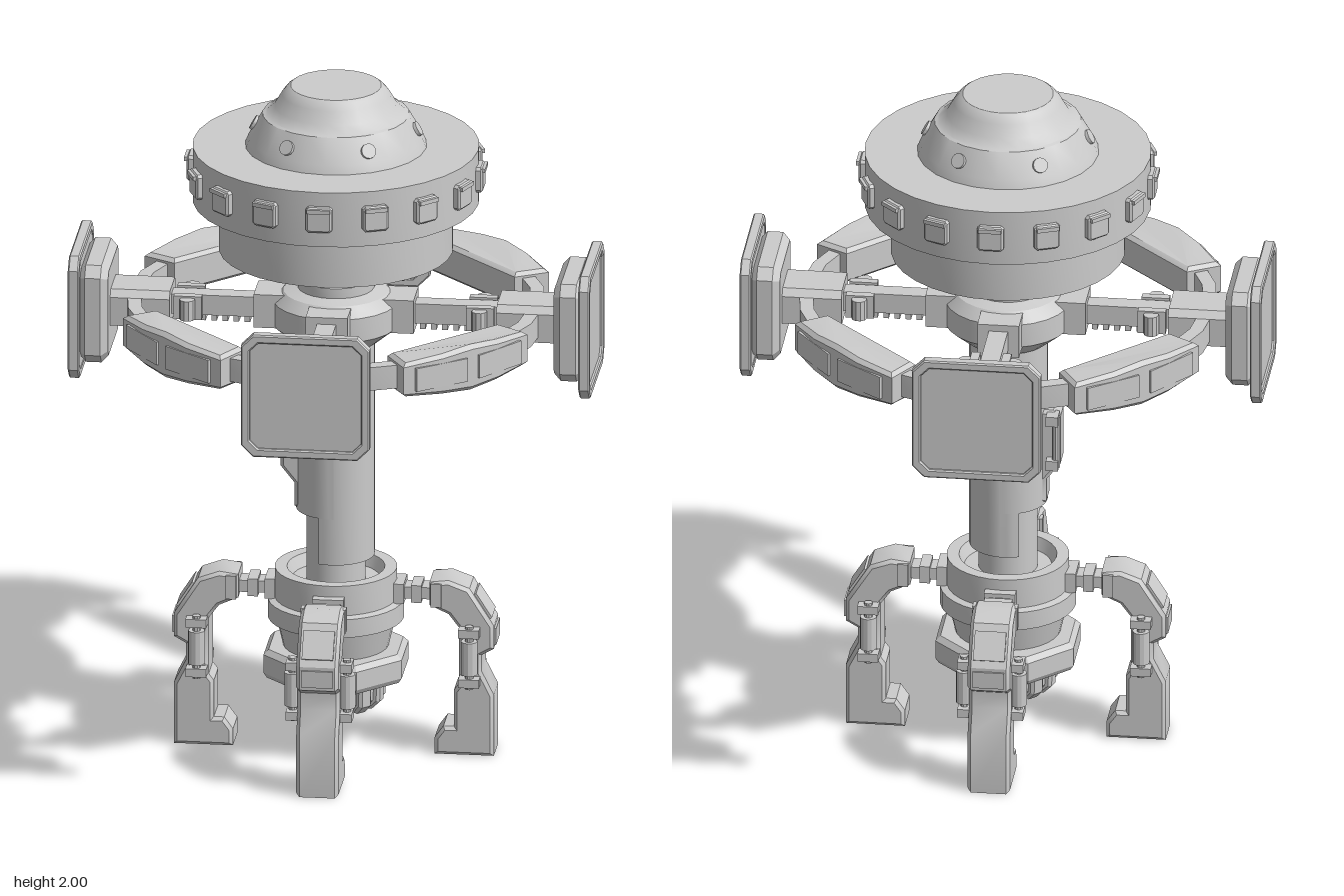
import * as THREE from 'three';
import { toCreasedNormals } from 'three/addons/utils/BufferGeometryUtils.js';

const mat = new THREE.MeshStandardMaterial({ color: 0xcccccc, side: THREE.DoubleSide });

function add(parent, name, geo, x = 0, y = 0, z = 0) {
  const m = new THREE.Mesh(toCreasedNormals(geo, 0.5), mat);
  m.name = name;
  m.position.set(x, y, z);
  parent.add(m);
  return m;
}
const box = (w, h, d) => new THREE.BoxGeometry(w, h, d);
const cyl = (r1, r2, h, n = 16) => new THREE.CylinderGeometry(r1, r2, h, n);
const vecs = (pts) => pts.map(([a, b]) => new THREE.Vector2(a, b));
const lathe = (pts, n = 32, start = 0, sweep = Math.PI * 2) =>
  new THREE.LatheGeometry(vecs(pts), n, start, sweep);

// Centred extrusion, with the bevel kept inside the outline and the depth
function slab(shape, depth, bevel = 0) {
  const geo = new THREE.ExtrudeGeometry(shape, {
    depth: depth - 2 * bevel, bevelEnabled: bevel > 0, bevelSize: bevel,
    bevelThickness: bevel, bevelOffset: -bevel, bevelSegments: 1, curveSegments: 6,
  });
  return geo.translate(0, 0, -depth / 2 + bevel);
}

// Square outline with cut corners
const cutSquare = (h, c) => vecs([
  [-h + c, -h], [h - c, -h], [h, -h + c], [h, h - c], [h - c, h], [-h + c, h], [-h, h - c], [-h, -h + c],
]);

// Repeats a part, built along +z, around the y axis
function around(parent, name, count, offset, build) {
  for (let i = 0; i < count; i++) {
    const g = new THREE.Group();
    g.name = name;
    g.rotation.y = offset + (i * Math.PI * 2) / count;
    build(g);
    parent.add(g);
  }
}

function buildHead(root) {
  add(root, 'drum', lathe([[0, 1.505], [0.335, 1.505], [0.335, 1.66]]));
  add(root, 'saucer', lathe([[0.33, 1.655], [0.41, 1.655], [0.41, 1.82], [0, 1.82]]));
  add(root, 'dome', lathe([[0.26, 1.82], [0.25, 1.845], [0.21, 1.915], [0.2, 1.918], [0.175, 1.94],
    [0.155, 1.975], [0.14, 1.993], [0.13, 2], [0, 2]], 24));
  around(root, 'window', 16, 0, (g) => {
    add(g, 'windowFrame', slab(new THREE.Shape(cutSquare(0.038, 0.008)), 0.03, 0.006), 0, 1.74, 0.411);
    add(g, 'windowHood', box(0.066, 0.012, 0.018), 0, 1.768, 0.424);
  });
  around(root, 'porthole', 6, Math.PI / 6, (g) => {
    const p = add(g, 'portholeRim', cyl(0.022, 0.022, 0.016, 14), 0, 1.875, 0.232);
    p.rotation.x = 1.04;
  });
}

function buildColumn(root) {
  add(root, 'innerColumn', cyl(0.085, 0.085, 1.0, 24), 0, 1.0, 0);
  // Long shell on the left side, shorter shell on the right
  add(root, 'longShell', lathe([[0.08, 0.58], [0.111, 0.58], [0.111, 1.28], [0.08, 1.28]], 24, -0.35, 3.9));
  add(root, 'shortShell', lathe([[0.08, 0.72], [0.114, 0.72], [0.114, 1.28], [0.08, 1.28]], 24, Math.PI - 0.1, 3.3));
  const fin = new THREE.Shape(vecs([[-0.09, 0.72], [-0.115, 0.73], [-0.115, 0.8], [-0.155, 0.85],
    [-0.155, 1.0], [-0.135, 1.02], [-0.09, 1.02]]));
  add(root, 'sideFin', slab(fin, 0.09, 0.01));
  add(root, 'sideRod', cyl(0.012, 0.012, 0.16, 10), -0.145, 0.93, -0.055);
  for (const y of [0.86, 1.0]) add(root, 'rodClamp', box(0.035, 0.03, 0.05), -0.135, y, -0.05);

  // Ribbed neck and hub that carries the arms
  add(root, 'neck', cyl(0.08, 0.08, 0.2, 24), 0, 1.42, 0);
  around(root, 'neckRib', 16, 0, (g) => add(g, 'rib', box(0.018, 0.11, 0.025), 0, 1.45, 0.085));
  add(root, 'hub', lathe([[0.1, 1.22], [0.12, 1.23], [0.18, 1.28], [0.18, 1.35], [0.15, 1.38],
    [0.11, 1.39], [0.11, 1.42], [0.07, 1.42]], 24));
}

function buildRing(root) {
  add(root, 'ring', lathe([[0.56, 1.285], [0.6, 1.285], [0.6, 1.355], [0.56, 1.355], [0.56, 1.285]], 24));
  const podShape = new THREE.Shape(vecs([[-0.2, 0.492], [0.2, 0.492], [0.225, 0.597], [0.1, 0.625],
    [0, 0.63], [-0.1, 0.625], [-0.225, 0.597]]));
  around(root, 'pod', 4, Math.PI / 4, (g) => {
    const geo = slab(podShape, 0.13, 0.012).rotateX(Math.PI / 2);
    const p = geo.attributes.position;
    // Narrow the height towards both ends
    for (let i = 0; i < p.count; i++) p.setY(i, p.getY(i) * (1.06 - Math.abs(p.getX(i)) * 1.3));
    geo.computeVertexNormals();
    add(g, 'podBody', geo, 0, 1.32, 0);
    for (const s of [-1, 1]) {
      const plate = add(g, 'podPlate', box(0.17, 0.07, 0.01), s * 0.105, 1.32, 0.62);
      plate.rotation.y = s * 0.13;
    }
  });
}

function buildArms(root) {
  around(root, 'arm', 4, 0, (g) => {
    add(g, 'armBeam', box(0.055, 0.06, 0.4), 0, 1.325, 0.31);
    for (let i = 0; i < 8; i++) add(g, 'rackTooth', box(0.045, 0.022, 0.016), 0, 1.288, 0.22 + i * 0.032);
    add(g, 'armRoot', box(0.12, 0.1, 0.12), 0, 1.325, 0.17);
    // Fork clamp half way along the beam
    for (const s of [-1, 1]) {
      add(g, 'forkSide', box(0.025, 0.07, 0.08), s * 0.045, 1.325, 0.42);
      add(g, 'forkPin', cyl(0.022, 0.022, 0.06, 10), s * 0.068, 1.325, 0.42);
    }
    add(g, 'armSleeve', slab(new THREE.Shape(vecs([[-0.078, -0.05], [0.078, -0.05], [0.078, 0.035],
      [0.06, 0.055], [-0.06, 0.055], [-0.078, 0.035]])), 0.18), 0, 1.32, 0.56);

    // Stepped panel with a raised rim
    const back = slab(new THREE.Shape(cutSquare(0.147, 0.03)), 0.085, 0.02);
    add(g, 'panelBack', back, 0, 1.318, 0.683);
    const rim = new THREE.Shape(cutSquare(0.185, 0.035));
    rim.holes.push(new THREE.Path(cutSquare(0.16, 0.025).reverse()));
    add(g, 'panelRim', slab(rim, 0.032, 0.004), 0, 1.318, 0.734);
    add(g, 'panelFace', slab(new THREE.Shape(cutSquare(0.165, 0.025)), 0.02), 0, 1.318, 0.73);
  });
}

function buildBase(root) {
  add(root, 'collar', lathe([[0.15, 0.3], [0.17, 0.385], [0.195, 0.39], [0.195, 0.445], [0.175, 0.45],
    [0.175, 0.54], [0.14, 0.54], [0.125, 0.505], [0.08, 0.505]]));
  add(root, 'octagonRing', lathe([[0.13, 0.22], [0.205, 0.22], [0.215, 0.235], [0.215, 0.29],
    [0.2, 0.305], [0.13, 0.305]], 8, Math.PI / 8));
  add(root, 'bulb', lathe([[0, 0.2], [0.085, 0.19], [0.085, 0.13], [0.105, 0.13], [0.125, 0.155], [0.13, 0.24]], 24));
  const rib = new THREE.Shape(vecs([[0.085, 0.125], [0.115, 0.125], [0.14, 0.15], [0.143, 0.23], [0.1, 0.23]]));
  around(root, 'bulbRib', 12, Math.PI / 12, (g) =>
    add(g, 'rib', slab(rib, 0.045, 0.008).rotateY(-Math.PI / 2)));
}

function buildClaws(root) {
  const claw = new THREE.Shape(vecs([[0.46, 0.005], [0.46, 0.19], [0.425, 0.26], [0.425, 0.31],
    [0.46, 0.33], [0.46, 0.4], [0.39, 0.51], [0.33, 0.532], [0.275, 0.525], [0.275, 0.455],
    [0.33, 0.43], [0.36, 0.39], [0.36, 0.22], [0.345, 0.2], [0.345, 0.09], [0.315, 0.09],
    [0.29, 0.055], [0.29, 0.005]]));
  around(root, 'claw', 4, 0, (g) => {
    add(g, 'clawBody', slab(claw, 0.122, 0.01).rotateY(-Math.PI / 2));
    // Link to the collar
    add(g, 'linkRod', box(0.06, 0.035, 0.14), 0, 0.482, 0.23);
    add(g, 'linkFoot', box(0.09, 0.06, 0.03), 0, 0.482, 0.185);
    add(g, 'linkKnuckle', box(0.08, 0.052, 0.03), 0, 0.482, 0.235);
    add(g, 'linkCap', box(0.13, 0.07, 0.03), 0, 0.488, 0.295);
    // Shoulder and forearm plates
    const plate = add(g, 'shoulderPlate', box(0.09, 0.085, 0.012), 0, 0.455, 0.426);
    plate.rotation.x = -0.567;
    add(g, 'elbowPlate', box(0.09, 0.05, 0.012), 0, 0.365, 0.46);
    // Pistons on both sides
    for (const s of [-1, 1]) {
      add(g, 'pistonBarrel', cyl(0.024, 0.024, 0.1, 12), s * 0.078, 0.31, 0.392);
      add(g, 'pistonRod', cyl(0.012, 0.012, 0.19, 10), s * 0.078, 0.31, 0.392);
      for (const y of [0.235, 0.385])
        add(g, 'pistonMount', box(0.04, 0.025, 0.06), s * 0.075, y, 0.392);
    }
  });
}

export function createModel() {
  const root = new THREE.Group();
  root.name = 'station';
  buildHead(root);
  buildColumn(root);
  buildRing(root);
  buildArms(root);
  buildBase(root);
  buildClaws(root);
  // Seat the claws on the ground
  root.children.filter((c) => c.name === 'claw').forEach((c) => { c.position.y = -0.005; });
  return root;
}
